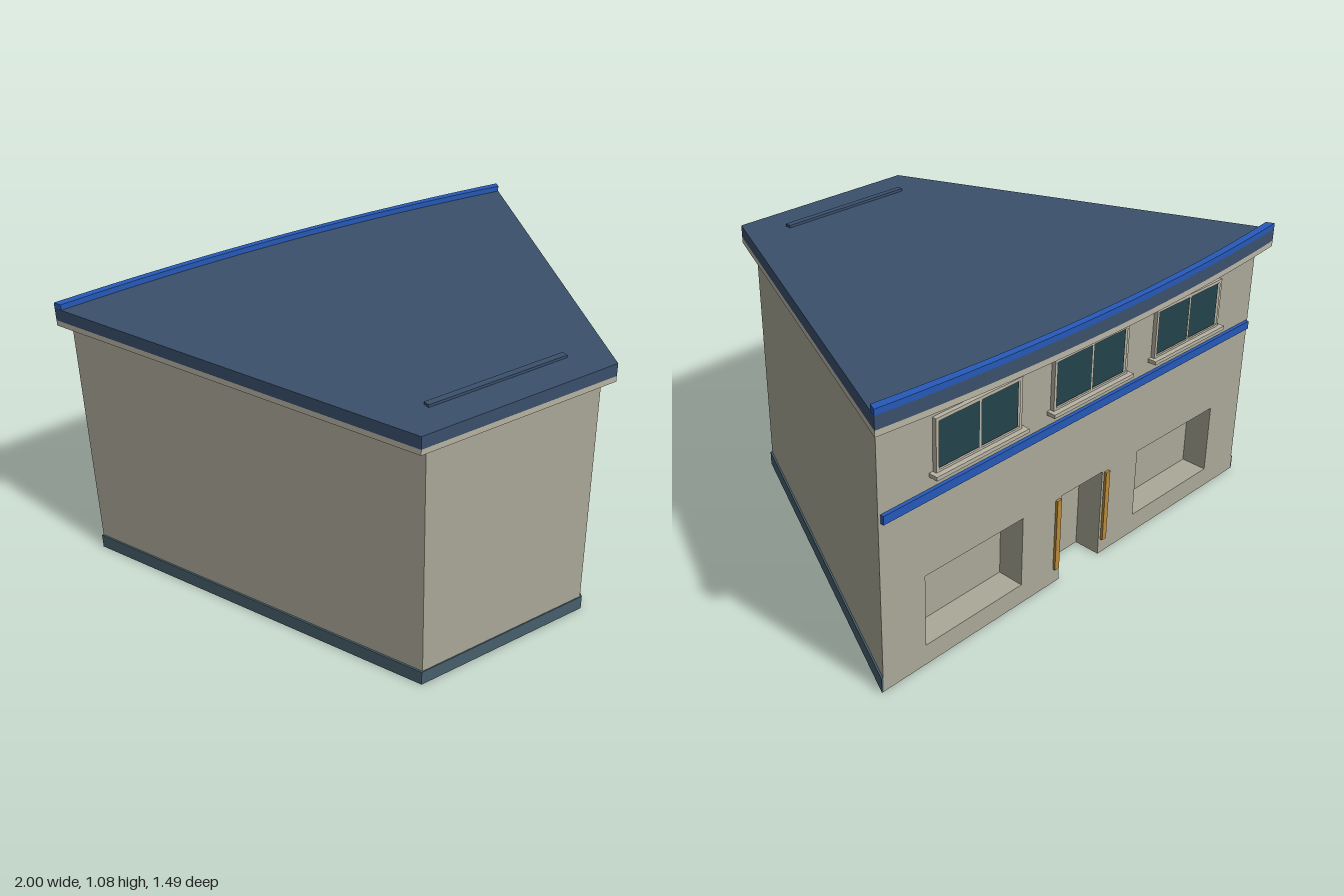
import * as THREE from 'three';

const mat = (color) => new THREE.MeshStandardMaterial({ color });
const wallMat = mat(0xaaa898), corniceMat = mat(0xb8b4a4), roofMat = mat(0x3a506b);
const trimMat = mat(0x2659b8), plinthMat = mat(0x465f6b), glassMat = mat(0x24424c), brassMat = mat(0xb8893a);

const BACK = -0.645, FRONT = 0.71, RECESS = 0.105;
const halfWidth = (z) => 0.96 - (0.6 * (z - BACK)) / (FRONT - BACK);

export function createModel() {
  const model = new THREE.Group();
  model.name = 'wedgeBuilding';

  function add(name, geometry, material, parent = model) {
    const mesh = new THREE.Mesh(geometry, material);
    mesh.name = name;
    parent.add(mesh);
    return mesh;
  }
  function box(name, x0, x1, y0, y1, z0, z1, material, parent) {
    const mesh = add(name, new THREE.BoxGeometry(x1 - x0, y1 - y0, z1 - z0), material, parent);
    mesh.position.set((x0 + x1) / 2, (y0 + y1) / 2, (z0 + z1) / 2);
    return mesh;
  }
  // Extrude a plan outline of [x, z] points from y0 to y1
  function slab(name, points, y0, y1, material) {
    const shape = new THREE.Shape(points.map(([x, z]) => new THREE.Vector2(x, -z)));
    const g = new THREE.ExtrudeGeometry(shape, { depth: y1 - y0, bevelEnabled: false });
    g.rotateX(-Math.PI / 2).translate(0, y0, 0);
    return add(name, g, material);
  }
  const rect = (x0, x1, y0, y1) => new THREE.Path([[x0, y0], [x0, y1], [x1, y1], [x1, y0]]
    .map((p) => new THREE.Vector2(...p)));

  // Main body behind the shopfront recesses
  const zMid = BACK + RECESS, wMid = halfWidth(zMid);
  slab('body', [[-wMid, zMid], [wMid, zMid], [0.36, FRONT], [-0.36, FRONT]], 0, 0.99, wallMat);

  // Shopfront wall: doorway notched in the outline, two display recesses as holes
  const outline = [[-0.96, 0], [-0.11, 0], [-0.11, 0.36], [0.11, 0.36], [0.11, 0], [0.96, 0], [0.96, 0.99], [-0.96, 0.99]];
  const wall = new THREE.Shape(outline.map((p) => new THREE.Vector2(...p)));
  wall.holes.push(rect(0.31, 0.77, 0.08, 0.36), rect(-0.77, -0.31, 0.08, 0.36));
  const wallGeo = new THREE.ExtrudeGeometry(wall, { depth: RECESS, bevelEnabled: false });
  wallGeo.translate(0, 0, BACK);
  // Pull the inner corners in so that the ends follow the tapering side walls
  const pos = wallGeo.attributes.position;
  for (let i = 0; i < pos.count; i++) {
    const x = pos.getX(i);
    if (Math.abs(x) > 0.9) pos.setX(i, Math.sign(x) * halfWidth(pos.getZ(i)));
  }
  wallGeo.computeVertexNormals();
  add('shopfrontWall', wallGeo, wallMat);

  // Plinth around the two sides and the narrow front
  slab('plinth', [[-0.967, BACK], [-0.366, 0.714], [0.366, 0.714], [0.967, BACK],
    [0.96, BACK], [0.36, FRONT], [-0.36, FRONT], [-0.96, BACK]], 0, 0.057, plinthMat);

  // Overhanging cornice and roof with a gently bowed edge
  const arc = (w, z, bow) => Array.from({ length: 25 }, (_, i) => {
    const t = -1 + i / 12;
    return [w * t, z - bow * (1 - t * t)];
  });
  const bowed = arc(1, -0.69, 0.055);
  const roofPlan = [...bowed, [0.4, 0.74], [-0.4, 0.74]];
  slab('cornice', roofPlan, 0.99, 1.012, corniceMat);
  slab('roof', roofPlan, 1.012, 1.06, roofMat);
  slab('roofEdgeTrim', [...bowed, ...arc(0.987, -0.66, 0.06).reverse()], 1.06, 1.082, trimMat);
  box('roofRidge', -0.285, 0.285, 1.058, 1.07, 0.59, 0.615, roofMat);

  // Band above the shopfront
  box('facadeBand', -0.95, 0.95, 0.65, 0.682, -0.659, BACK, trimMat);

  // Three double windows with frames and sills
  [-0.54, 0, 0.54].forEach((x) => {
    const win = new THREE.Group();
    win.name = 'window';
    win.position.x = x;
    model.add(win);
    const frame = new THREE.Shape(rect(-0.192, 0.192, 0.735, 0.93).getPoints());
    frame.holes.push(rect(-0.18, -0.006, 0.747, 0.918), rect(0.006, 0.18, 0.747, 0.918));
    const g = new THREE.ExtrudeGeometry(frame, { depth: 0.016, bevelEnabled: false });
    add('windowFrame', g.translate(0, 0, -0.661), corniceMat, win);
    box('windowGlass', -0.182, 0.182, 0.745, 0.92, -0.652, BACK, glassMat, win);
    box('windowSill', -0.208, 0.208, 0.724, 0.738, -0.68, BACK, corniceMat, win);
  });

  // Slim brass strips on both sides of the doorway
  [-1, 1].forEach((s) => box('doorStrip', s * 0.132 - 0.011, s * 0.132 + 0.011, 0.06, 0.355, -0.655, BACK, brassMat));

  return model;
}
